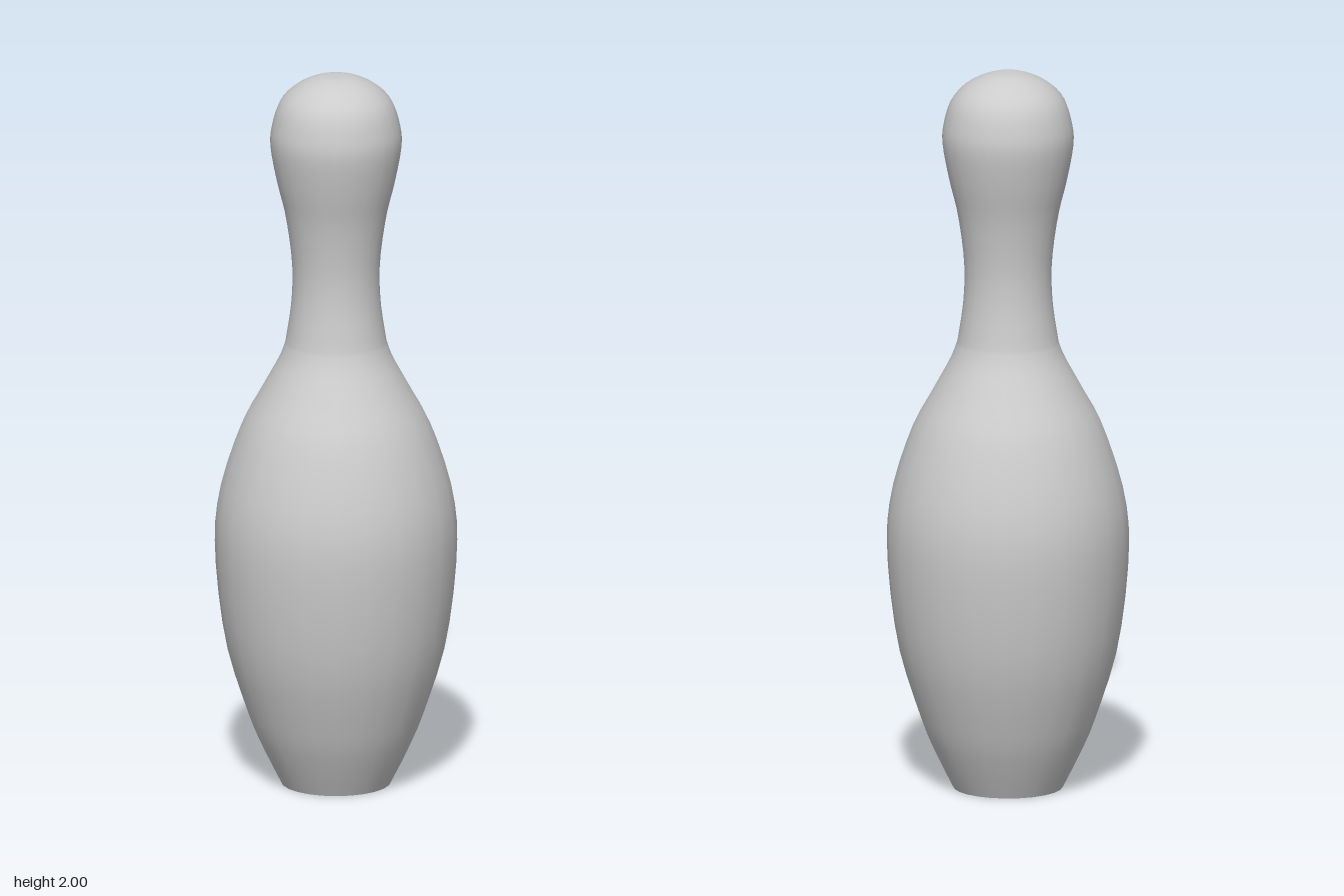
import * as THREE from 'three';

const SIDES = 24;
const TURN = Math.PI / SIDES; // half a facet, so flat facets face the axes

export function createModel() {
  const group = new THREE.Group();
  group.name = 'bowlingPin';
  const material = new THREE.MeshStandardMaterial({ color: 0xcccccc });

  const smooth = (pairs, n) =>
    new THREE.SplineCurve(pairs.map(([r, y]) => new THREE.Vector2(r, y))).getPoints(n);

  // Belly, from the base to the shoulder
  const belly = smooth([
    [0.15, 0], [0.2, 0.1], [0.241, 0.2], [0.301, 0.4], [0.33, 0.65],
    [0.319, 0.82], [0.264, 1.0], [0.206, 1.11], [0.157, 1.2], [0.138, 1.25],
  ], 28);

  // Neck and rounded head
  const neckAndHead = smooth([
    [0.138, 1.25], [0.122, 1.36], [0.12, 1.47], [0.137, 1.6], [0.161, 1.7],
    [0.179, 1.8], [0.175, 1.86], [0.154, 1.925], [0.11, 1.97], [0.05, 1.997], [0, 2],
  ], 32);

  const profile = [...belly, ...neckAndHead.slice(1)];
  profile[profile.length - 1].x = 0;
  const body = new THREE.Mesh(new THREE.LatheGeometry(profile, SIDES, TURN), material);
  body.name = 'body';
  group.add(body);

  // Flat underside
  const base = new THREE.Mesh(
    new THREE.CircleGeometry(0.15, SIDES, TURN).rotateX(Math.PI / 2), material);
  base.name = 'base';
  group.add(base);

  return group;
}
